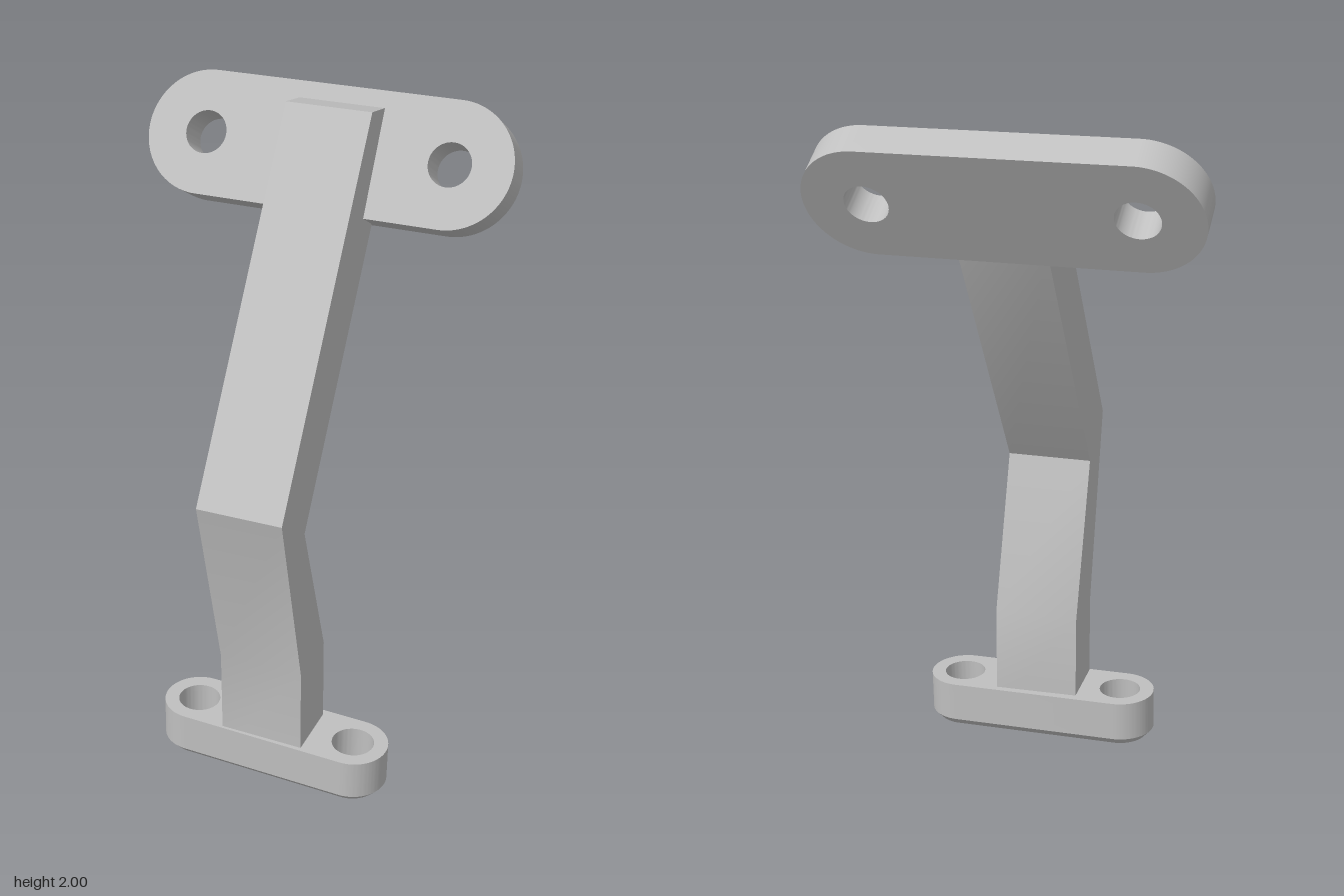
import * as THREE from 'three';
import { toCreasedNormals } from 'three/addons/utils/BufferGeometryUtils.js';

// Rounded bar outline along x, with a hole concentric with each end
function barShape(half, radius, holeRadius) {
  const s = new THREE.Shape();
  s.absarc(half, 0, radius, -Math.PI / 2, Math.PI / 2, false);
  s.absarc(-half, 0, radius, Math.PI / 2, Math.PI * 1.5, false);
  s.closePath();
  for (const x of [-half, half]) {
    const hole = new THREE.Path();
    hole.absarc(x, 0, holeRadius, 0, Math.PI * 2, true);
    s.holes.push(hole);
  }
  return s;
}

export function createModel() {
  const group = new THREE.Group();
  const metal = new THREE.MeshStandardMaterial({ color: 0xbfbfbf });
  metal.name = 'grey metal';

  function add(name, geometry) {
    const mesh = new THREE.Mesh(toCreasedNormals(geometry, 0.5), metal);
    mesh.name = name;
    group.add(mesh);
    return mesh;
  }

  // Bent arm: side profile as (z, y), extruded across x
  const profile = [
    [0.296, 0.08], [0.296, 0.42], [0.434, 1.0], [-0.204, 1.974],
    [-0.33, 1.952], [-0.244, 1.68], [0.272, 0.89], [0.116, 0.42], [0.116, 0.08],
  ].map(([z, y]) => new THREE.Vector2(z, y));
  const arm = new THREE.ExtrudeGeometry(new THREE.Shape(profile), { depth: 0.258, bevelEnabled: false });
  arm.rotateY(-Math.PI / 2).translate(0.153, 0, 0);
  add('bentArm', arm);

  // Tilted mounting plate at the top
  const plate = new THREE.ExtrudeGeometry(barShape(0.37, 0.182, 0.063), {
    depth: 0.106, bevelEnabled: false, curveSegments: 32,
  });
  plate.translate(0, 0, -0.053);
  const topPlate = add('topPlate', plate);
  topPlate.rotation.x = -Math.PI / 6;
  topPlate.position.set(0, 1.815, -0.285);

  // Foot, with the outer lower rim pulled in to form a chamfer
  const half = 0.258, radius = 0.107;
  const foot = new THREE.ExtrudeGeometry(barShape(half, radius, 0.064), {
    depth: 0.148, steps: 6, bevelEnabled: false, curveSegments: 32,
  });
  const p = foot.attributes.position;
  for (let i = 0; i < p.count; i++) {
    if (p.getZ(i) > 0.001) continue;
    const axisX = THREE.MathUtils.clamp(p.getX(i), -half, half);
    const dx = p.getX(i) - axisX, dy = p.getY(i);
    if (Math.hypot(dx, dy) < radius * 0.95) continue;
    const k = (radius - 0.022) / radius;
    p.setXY(i, axisX + dx * k, dy * k);
  }
  foot.rotateX(-Math.PI / 2);
  const base = add('footPlate', foot);
  base.rotation.set(0, -0.018, -0.021);
  base.position.set(0.025, 0.007, 0.2);

  return group;
}
